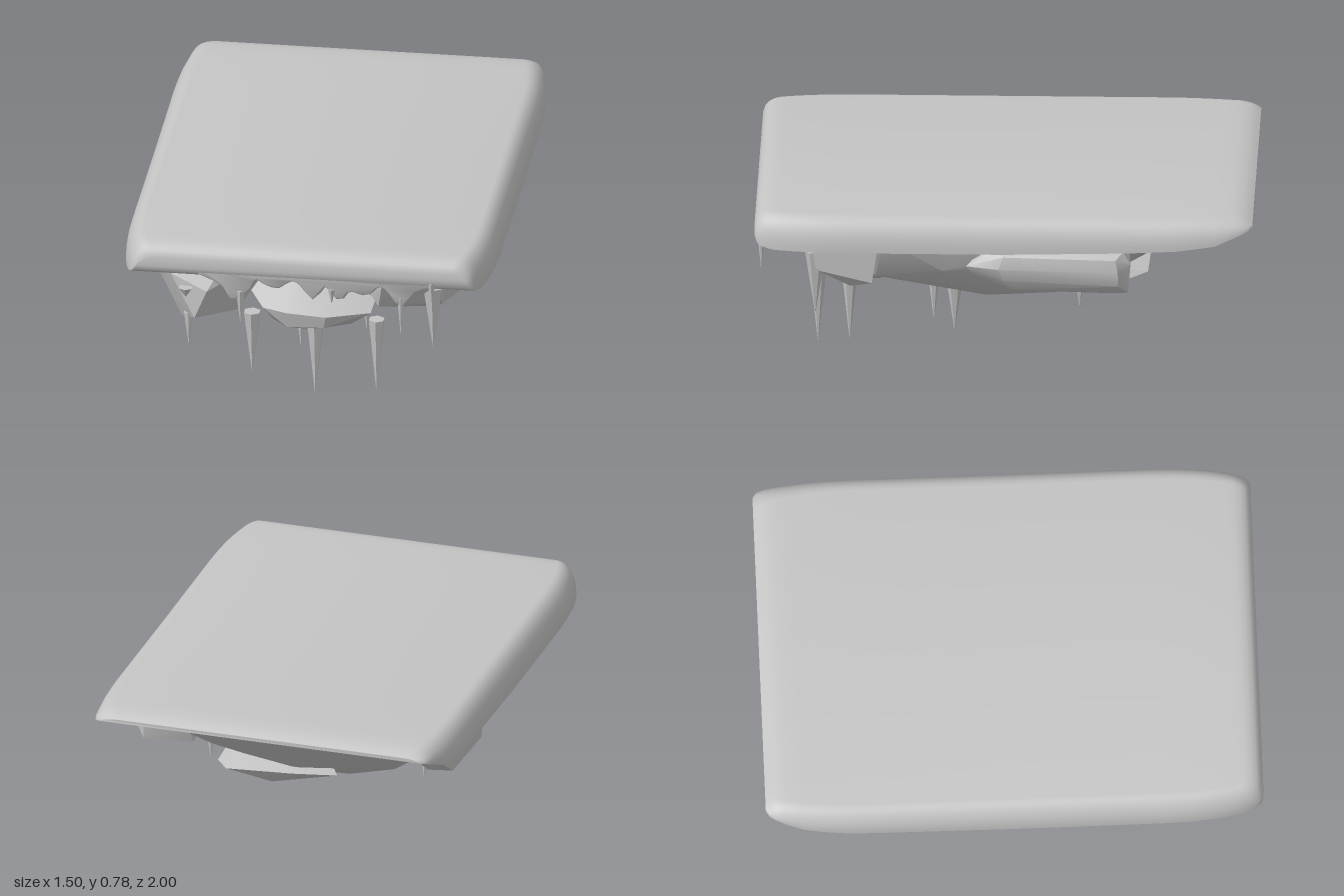
import * as THREE from 'three';
import { ConvexGeometry } from 'three/addons/geometries/ConvexGeometry.js';
import { toCreasedNormals } from 'three/addons/utils/BufferGeometryUtils.js';

const stone = new THREE.MeshStandardMaterial({ color: 0xc4c4c4 });
stone.name = 'stone grey';

function add(group, name, geometry) {
  const mesh = new THREE.Mesh(geometry, stone);
  mesh.name = name;
  group.add(mesh);
  return mesh;
}

// Slab lofted along z: rounded sides, rounded front, thin tapering back
function slabGeometry() {
  const stations = [-1, -0.985, -0.96, -0.92, -0.85, -0.78, -0.7, -0.6, -0.5, -0.3, 0, 0.3, 0.6,
    0.7, 0.78, 0.85, 0.9, 0.93, 0.955, 0.975, 0.99, 1];
  const bottomLine = [[-1, 0.742], [-0.85, 0.682], [-0.7, 0.665], [-0.5, 0.656], [0, 0.645], [0.93, 0.645],
    [0.975, 0.655], [0.99, 0.667], [1, 0.69]];
  const bottomAt = (z) => {
    const i = Math.max(1, bottomLine.findIndex((p) => p[0] >= z));
    const [z0, y0] = bottomLine[i - 1], [z1, y1] = bottomLine[i];
    return y0 + ((y1 - y0) * (z - z0)) / (z1 - z0);
  };
  const arc = 8, ring = 2 * (arc + 1);
  const pos = [], index = [];
  for (const z of stations) {
    const e = Math.max(0, (Math.abs(z) - 0.6) / 0.4);
    const w = 0.67 + 0.08 * Math.sqrt(1 - e * e);
    const u = Math.max(0, (z - 0.93) / 0.07), v = Math.max(0, (-z - 0.92) / 0.08);
    const top = 0.782 - 0.05 * (1 - Math.sqrt(Math.max(0, 1 - u * u))) - 0.025 * v * v;
    const low = bottomAt(z);
    for (let j = 0; j < ring; j++) {
      const side = j <= arc ? -1 : 1;
      const k = j <= arc ? j : ring - 1 - j;
      const a = (k / arc) * Math.PI / 2;
      pos.push(side * (w - 0.08 + 0.08 * Math.cos(a)), low + (top - low) * Math.sin(a), z);
    }
  }
  const last = (stations.length - 1) * ring;
  for (let i = 0; i < last; i += ring) {
    for (let j = 0; j < ring; j++) {
      const n = (j + 1) % ring;
      const a = i + j, b = i + n, c = i + ring + n, d = i + ring + j;
      index.push(a, d, c, a, c, b);
    }
  }
  for (let j = 1; j < ring - 1; j++) index.push(0, j, j + 1, last, last + j + 1, last + j);
  const geo = new THREE.BufferGeometry();
  geo.setAttribute('position', new THREE.Float32BufferAttribute(pos, 3));
  geo.setIndex(index);
  return toCreasedNormals(geo, 0.8);
}

// Melted fringe hanging below the front edge
function fringeGeometry() {
  const edge = [[-0.35, 0.64], [-0.31, 0.61], [-0.285, 0.565], [-0.25, 0.585], [-0.22, 0.605],
    [-0.19, 0.66], [-0.15, 0.64], [-0.1, 0.627], [-0.05, 0.66], [-0.01, 0.65], [0.045, 0.59], [0.095, 0.65],
    [0.15, 0.59], [0.19, 0.632], [0.26, 0.618], [0.31, 0.66], [0.35, 0.638], [0.4, 0.578], [0.45, 0.64], [0.52, 0.67]];
  const shape = new THREE.Shape();
  shape.moveTo(-0.42, 0.7);
  shape.lineTo(-0.42, 0.67);
  shape.splineThru(edge.map(([x, y]) => new THREE.Vector2(x, y)));
  shape.lineTo(0.52, 0.7);
  shape.closePath();
  const geo = new THREE.ExtrudeGeometry(shape, {
    depth: 0.04, bevelThickness: 0.03, bevelSize: 0.012, bevelSegments: 3, curveSegments: 2,
  });
  geo.translate(0, 0, 0.922);
  return toCreasedNormals(geo, 1.1);
}

const rockGeometry = (points) =>
  toCreasedNormals(new ConvexGeometry(points.map((p) => new THREE.Vector3(...p))), 0.45);

const rocks = {
  mainRock: [
    [-0.2, 0.27, 0.1], [0.22, 0.27, 0.08], [-0.12, 0.27, -0.2], [0.18, 0.27, -0.2], [0, 0.3, 0.25],
    [-0.3, 0.36, 0.42], [0.3, 0.36, 0.42], [-0.45, 0.44, 0.52], [0.46, 0.44, 0.52], [-0.4, 0.66, 0.76],
    [0.4, 0.66, 0.76], [-0.42, 0.38, 0.1], [0.44, 0.38, 0.05], [-0.6, 0.52, 0.25], [0.61, 0.52, 0.25],
    [-0.6, 0.65, 0.48], [0.61, 0.65, 0.48], [-0.64, 0.66, 0.1], [0.65, 0.66, 0.1],
    [-0.36, 0.39, -0.35], [0.38, 0.39, -0.35], [0, 0.42, -0.52],
    [-0.57, 0.54, -0.4], [0.57, 0.54, -0.4], [-0.62, 0.67, -0.56], [0.63, 0.67, -0.56],
    [-0.3, 0.6, -0.76], [0.3, 0.6, -0.76], [-0.36, 0.68, -0.86], [0.36, 0.68, -0.86]],
  frontRightBoulder: [
    [-0.62, 0.6, 0.78], [-0.57, 0.645, 0.7], [-0.34, 0.63, 0.8], [-0.27, 0.58, 0.76], [-0.22, 0.5, 0.66],
    [-0.3, 0.39, 0.72], [-0.52, 0.37, 0.76], [-0.45, 0.42, 0.89], [-0.4, 0.54, 0.89], [-0.55, 0.6, 0.86],
    [-0.6, 0.5, 0.55], [-0.3, 0.6, 0.5], [-0.42, 0.4, 0.52]],
  frontLeftBoulder: [
    [0.2, 0.57, 0.62], [0.2, 0.5, 0.64], [0.27, 0.43, 0.7], [0.5, 0.41, 0.62], [0.6, 0.46, 0.53],
    [0.62, 0.6, 0.51], [0.55, 0.65, 0.78], [0.42, 0.645, 0.85], [0.3, 0.59, 0.8], [0.54, 0.49, 0.75],
    [0.45, 0.64, 0.52], [0.35, 0.46, 0.55]],
  frontLowerBoulder: [
    [-0.28, 0.42, 0.55], [-0.2, 0.39, 0.69], [-0.13, 0.495, 0.54], [0.02, 0.495, 0.54], [0.24, 0.4, 0.56],
    [0.23, 0.37, 0.64], [0.06, 0.38, 0.73], [-0.1, 0.39, 0.73], [0.05, 0.33, 0.72], [-0.1, 0.32, 0.71],
    [-0.08, 0.25, 0.5], [0.02, 0.26, 0.52], [-0.03, 0.27, 0.61],
    [-0.17, 0.31, 0.62], [0.15, 0.31, 0.62], [-0.15, 0.34, 0.34], [0.14, 0.35, 0.34]],
  leftBoulder: [
    [0.66, 0.56, 0.15], [0.64, 0.52, 0.13], [0.65, 0.635, 0.04], [0.64, 0.64, -0.3], [0.64, 0.62, -0.48],
    [0.69, 0.61, 0], [0.69, 0.6, -0.45], [0.7, 0.56, 0.02], [0.7, 0.55, -0.46], [0.69, 0.51, 0],
    [0.69, 0.49, -0.46], [0.66, 0.46, -0.04], [0.62, 0.435, -0.44], [0.65, 0.45, -0.5],
    [0.65, 0.57, -0.51], [0.48, 0.45, -0.06], [0.46, 0.435, -0.44], [0.5, 0.62, 0.05], [0.48, 0.6, -0.5]],
  rightBoulder: [
    [-0.63, 0.52, -0.03], [-0.66, 0.62, -0.1], [-0.62, 0.64, -0.5], [-0.69, 0.61, -0.22], [-0.69, 0.53, -0.24],
    [-0.67, 0.6, -0.5], [-0.66, 0.5, -0.52], [-0.6, 0.47, -0.18], [-0.54, 0.47, -0.48], [-0.6, 0.6, -0.63],
    [-0.48, 0.48, -0.08], [-0.45, 0.6, -0.56]],
  backBoulder: [
    [-0.16, 0.39, -0.48], [-0.08, 0.35, -0.38], [0.1, 0.325, -0.31], [0.24, 0.33, -0.38], [0.35, 0.38, -0.46],
    [0.28, 0.4, -0.57], [0, 0.42, -0.58], [0.1, 0.35, -0.53], [0.32, 0.44, -0.4], [-0.06, 0.46, -0.36]],
};

// x, top y, tip y, z, radius
const icicles = [
  [-0.48, 0.42, 0.28, 0.83, 0.022], [-0.45, 0.45, 0.32, -0.24, 0.018], [-0.235, 0.4, 0.14, 0.75, 0.036],
  [-0.1, 0.32, 0.05, 0.3, 0.034], [0.005, 0.3, 0, 0.635, 0.034], [0.155, 0.3, 0.1, 0.21, 0.032],
  [0.27, 0.4, 0.09, 0.755, 0.034], [0.5, 0.56, 0.3, 0.76, 0.042], [0.43, 0.42, 0.31, -0.3, 0.018],
  [0.4, 0.61, 0.45, 0.98, 0.016], [-0.25, 0.6, 0.46, 0.98, 0.02], [0.525, 0.685, 0.6, 0.985, 0.017],
  [0.12, 0.63, 0.57, 0.985, 0.016], [-0.485, 0.555, 0.515, 0.89, 0.03],
];

export function createModel() {
  const model = new THREE.Group();
  model.name = 'floatingPlatform';
  add(model, 'slab', slabGeometry());
  add(model, 'drippingFringe', fringeGeometry());
  for (const [name, points] of Object.entries(rocks)) add(model, name, rockGeometry(points));

  // Hanging icicles: slim six-sided spikes pointing down
  for (const [x, top, tip, z, r] of icicles) {
    const h = top - tip;
    const spike = new THREE.CylinderGeometry(r, 0.002, h, 6);
    spike.translate(x, tip + h / 2, z);
    add(model, 'icicle', toCreasedNormals(spike, 0.5));
  }
  return model;
}
